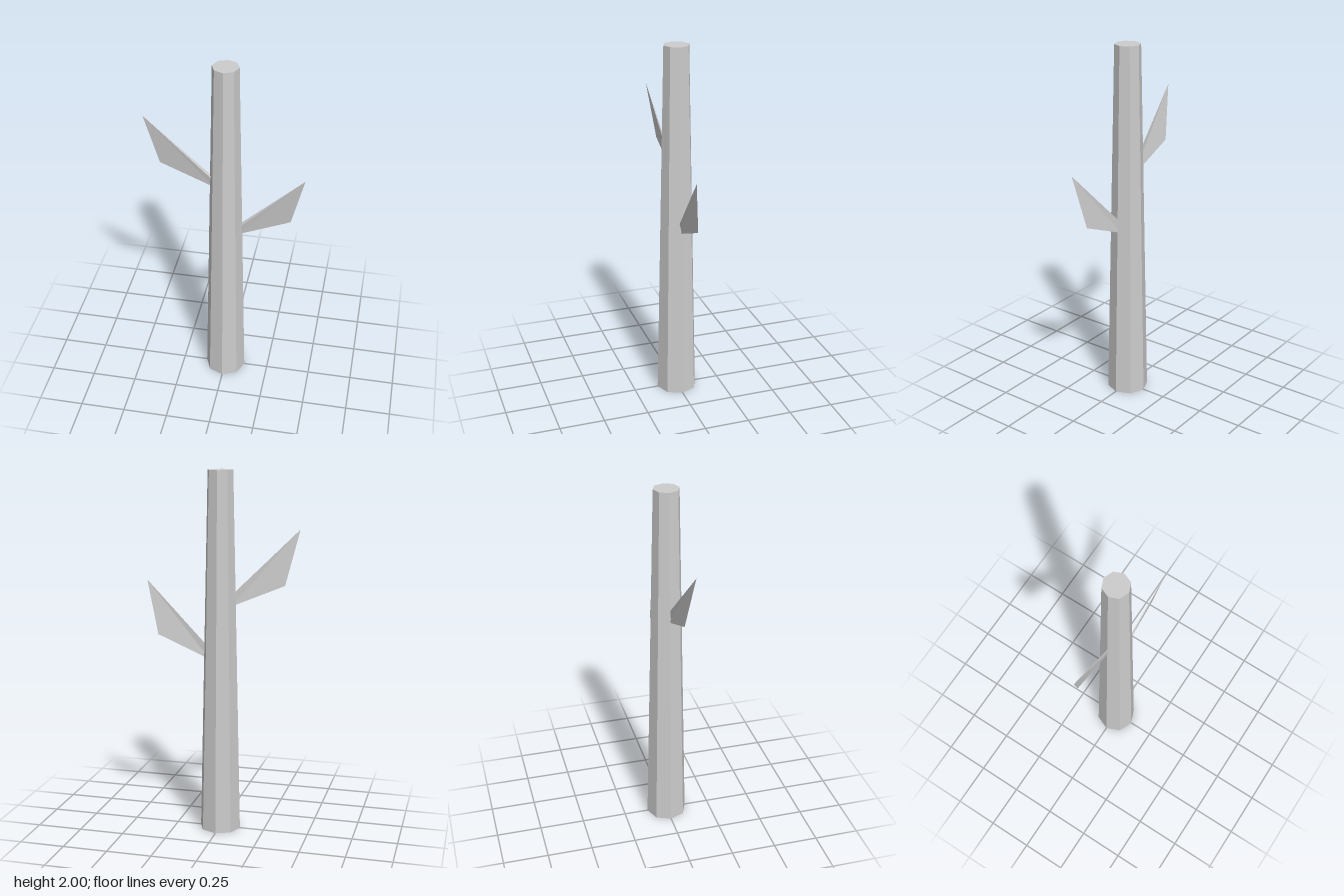
import * as THREE from 'three';

export function createModel() {
  const group = new THREE.Group();
  const bark = new THREE.MeshStandardMaterial({ color: 0xcccccc, flatShading: true, side: THREE.DoubleSide });
  bark.name = 'grey bark';

  // Tapered eight-sided trunk
  const trunk = new THREE.Mesh(new THREE.CylinderGeometry(0.07, 0.114, 2, 8), bark);
  trunk.name = 'trunk';
  trunk.position.y = 1;
  group.add(trunk);

  // Branch: a slim triangular root that spreads into a thin slanted blade
  function addBranch(name, side, lift) {
    const low = [0.06, -0.03, 0], front = [0.06, 0.012, 0.008], back = [0.06, 0.03, 0];
    const corner = [0.355, 0.095, 0], tip = [0.427, 0.393, 0.036];
    const faces = [
      [low, corner, tip], // blade
      [low, tip, front], // front of root
      [low, back, tip], // back of root
      [front, tip, back], // upper edge
    ];
    const points = faces.flatMap(([a, b, c]) => (side > 0 ? [a, b, c] : [a, c, b]))
      .flatMap(([x, y, z]) => [x * side, y, z]);
    const geometry = new THREE.BufferGeometry();
    geometry.setAttribute('position', new THREE.Float32BufferAttribute(points, 3));
    geometry.computeVertexNormals();
    const branch = new THREE.Mesh(geometry, bark);
    branch.name = name;
    branch.position.y = lift;
    group.add(branch);
  }
  addBranch('leftBranch', 1, 1);
  addBranch('rightBranch', -1, 1.3);

  return group;
}
